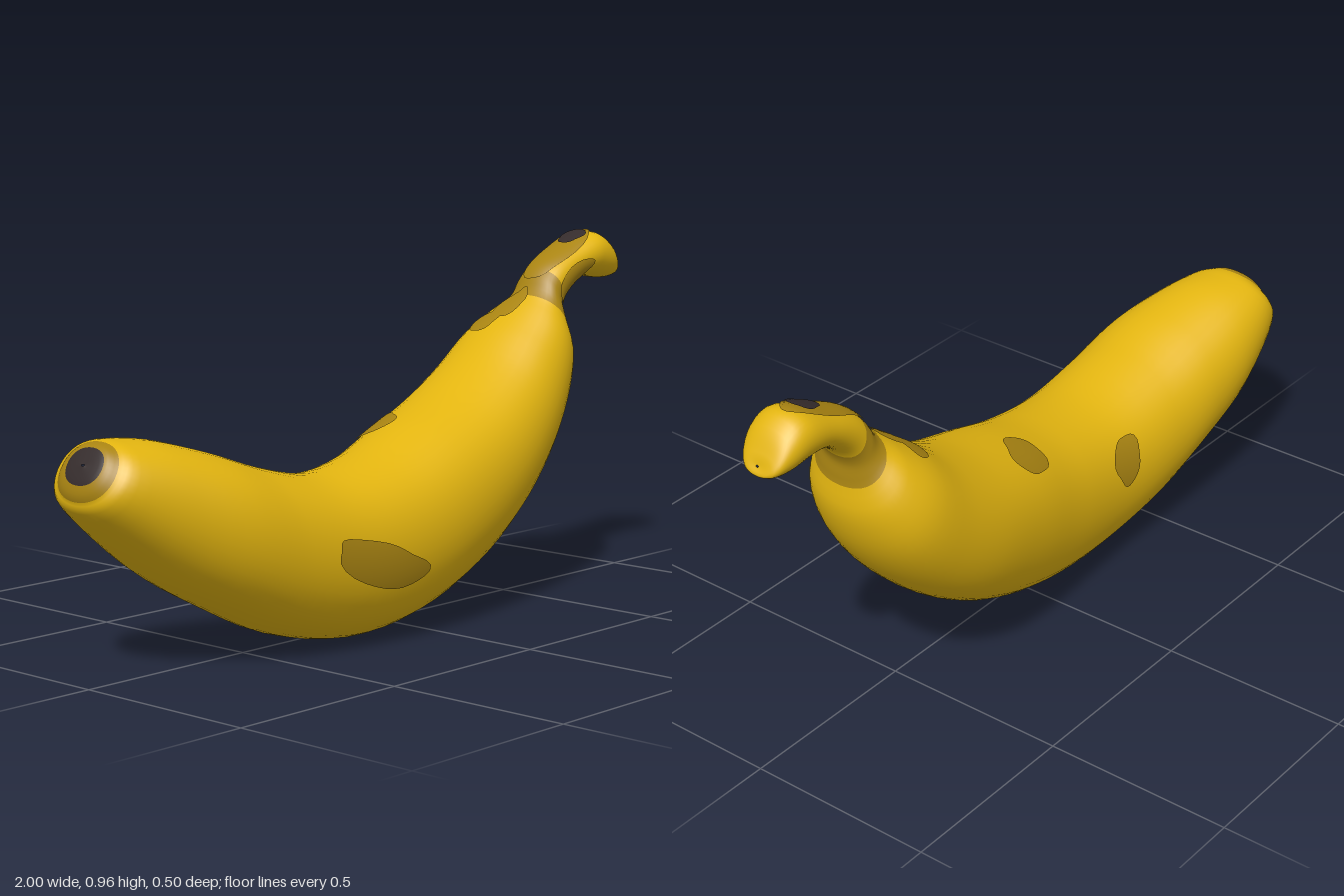
import * as THREE from 'three';

// Cross-sections from blossom tip to stem end: inner edge x,y, outer edge x,y, z min, z max
const RINGS = [
  [-0.978, 0.527, -0.982, 0.523, -0.035, -0.025],
  [-0.95, 0.563, -1.0, 0.48, -0.09, 0.03],
  [-0.92, 0.573, -1.0, 0.44, -0.13, 0.06],
  [-0.88, 0.575, -0.97, 0.39, -0.175, 0.1],
  [-0.79, 0.565, -0.79, 0.235, -0.2, 0.16],
  [-0.65, 0.525, -0.62, 0.13, -0.195, 0.215],
  [-0.49, 0.47, -0.44, 0.045, -0.18, 0.235],
  [-0.3, 0.43, -0.22, 0.005, -0.17, 0.245],
  [-0.1, 0.45, 0.01, 0.03, -0.19, 0.245],
  [0.09, 0.51, 0.24, 0.11, -0.225, 0.23],
  [0.27, 0.57, 0.43, 0.22, -0.25, 0.2],
  [0.41, 0.64, 0.58, 0.35, -0.25, 0.165],
  [0.52, 0.72, 0.68, 0.48, -0.235, 0.13],
  [0.59, 0.77, 0.725, 0.6, -0.19, 0.1],
  [0.64, 0.81, 0.72, 0.7, -0.13, 0.06],
  [0.67, 0.855, 0.72, 0.75, -0.115, 0.038],
  [0.71, 0.89, 0.75, 0.795, -0.11, 0.035],
  [0.78, 0.925, 0.81, 0.835, -0.11, 0.037],
  [0.88, 0.964, 0.86, 0.84, -0.115, 0.046],
  [0.935, 0.94, 0.94, 0.83, -0.108, 0.04],
  [0.97, 0.89, 0.99, 0.838, -0.085, 0.01],
  [0.982, 0.862, 0.984, 0.858, -0.037, -0.03],
];
const LAST = RINGS.length - 1;

// Smooth interpolation along the sections
function section(s) {
  const i = Math.min(LAST - 1, Math.max(0, Math.floor(s)));
  const t = s - i;
  const row = (k) => RINGS[Math.min(LAST, Math.max(0, k))];
  const [p, q, r, w] = [row(i - 1), row(i), row(i + 1), row(i + 2)];
  return q.map((b, k) => b + 0.5 * t * (r[k] - p[k]
    + t * (2 * p[k] - 5 * b + 4 * r[k] - w[k] + t * (3 * (b - r[k]) + w[k] - p[k]))));
}

// Point on the skin: s runs along the fruit, a around it (0 = inner edge, PI/2 = +z)
function point(s, a) {
  const [tx, ty, bx, by, z0, z1] = section(s);
  const c = Math.cos(a), n = Math.sin(a);
  const up = 0.5 * c * (1 + 0.06 * n * n);
  const side = 0.5 * n * (1 + 0.06 * c * c);
  return new THREE.Vector3((tx + bx) / 2 + up * (tx - bx), (ty + by) / 2 + up * (ty - by),
    (z0 + z1) / 2 + side * (z1 - z0));
}

function normal(s, a) {
  const e = 0.03;
  const da = point(s, a + e).sub(point(s, a - e));
  const ds = point(Math.min(LAST, s + e), a).sub(point(Math.max(0, s - e), a));
  return da.cross(ds).normalize();
}

// Grid of skin points; at(u, v) returns [s, a]
function grid(name, material, nu, nv, at, lift = 0) {
  const pos = [], nor = [], index = [];
  for (let i = 0; i <= nu; i++) {
    for (let j = 0; j <= nv; j++) {
      const [s, a] = at(i / nu, j / nv);
      const n = normal(s, a);
      pos.push(...point(s, a).addScaledVector(n, lift).toArray());
      nor.push(...n.toArray());
      if (i < nu && j < nv) {
        const k = i * (nv + 1) + j, m = k + nv + 1;
        index.push(k, k + 1, m, k + 1, m + 1, m);
      }
    }
  }
  const g = new THREE.BufferGeometry();
  g.setAttribute('position', new THREE.Float32BufferAttribute(pos, 3));
  g.setAttribute('normal', new THREE.Float32BufferAttribute(nor, 3));
  g.setIndex(index);
  const mesh = new THREE.Mesh(g, material);
  mesh.name = name;
  return mesh;
}

// Full loop of skin between two sections
const skin = (name, material, s0, s1) => grid(name, material, Math.ceil((s1 - s0) * 4), 40,
  (u, v) => [s0 + (s1 - s0) * u, v * Math.PI * 2]);

// Irregular blemish lying just above the skin
const blemish = (name, material, s0, a0, ds, da, skew = 0, lift = 0.004) => grid(name, material, 8, 28,
  (u, v) => {
    const t = v * Math.PI * 2;
    const r = u * (1 + 0.07 * Math.sin(3 * t + s0) + 0.04 * Math.cos(5 * t));
    const s = ds * r * Math.cos(t);
    return [s0 + s, a0 + da * r * Math.sin(t) + skew * s];
  }, lift);

export function createModel() {
  const paint = (name, color) => {
    const m = new THREE.MeshStandardMaterial({ color });
    m.name = name;
    return m;
  };
  const yellow = paint('ripe yellow', 0xe3b510);
  const brown = paint('bruise brown', 0xa98412);
  const dark = paint('dark tip', 0x352c2c);

  const group = new THREE.Group();
  group.name = 'banana';
  group.add(
    // Skin from tip to stem
    skin('blossomTip', dark, 0, 1),
    skin('tipRing', brown, 1, 2),
    skin('body', yellow, 2, 13.8),
    skin('neckCollar', brown, 13.8, 15.4),
    skin('stem', yellow, 15.4, LAST),
    // Bruises on the body
    blemish('frontBruise', brown, 7, 1.57, 0.72, 0.27, 0.2),
    blemish('topBruise', brown, 9, -0.47, 0.36, 0.3),
    blemish('backBruise', brown, 7, -1.13, 0.27, 0.3),
    blemish('undersideBruise', brown, 10, 3.14, 0.4, 0.16, 0.3),
    blemish('shoulderBruise', brown, 12.3, -0.33, 0.45, 0.27),
    blemish('shoulderStreak', brown, 13.3, -0.15, 0.9, 0.28),
    // Marks on the stem
    blemish('stemTopBruise', brown, 16.5, 0, 1.75, 0.75),
    blemish('stemSideBruise', brown, 16, 1.8, 1.5, 0.6),
    blemish('stemDarkSpot', dark, 17.5, 0, 0.38, 0.42, 0, 0.008),
  );
  return group;
}
